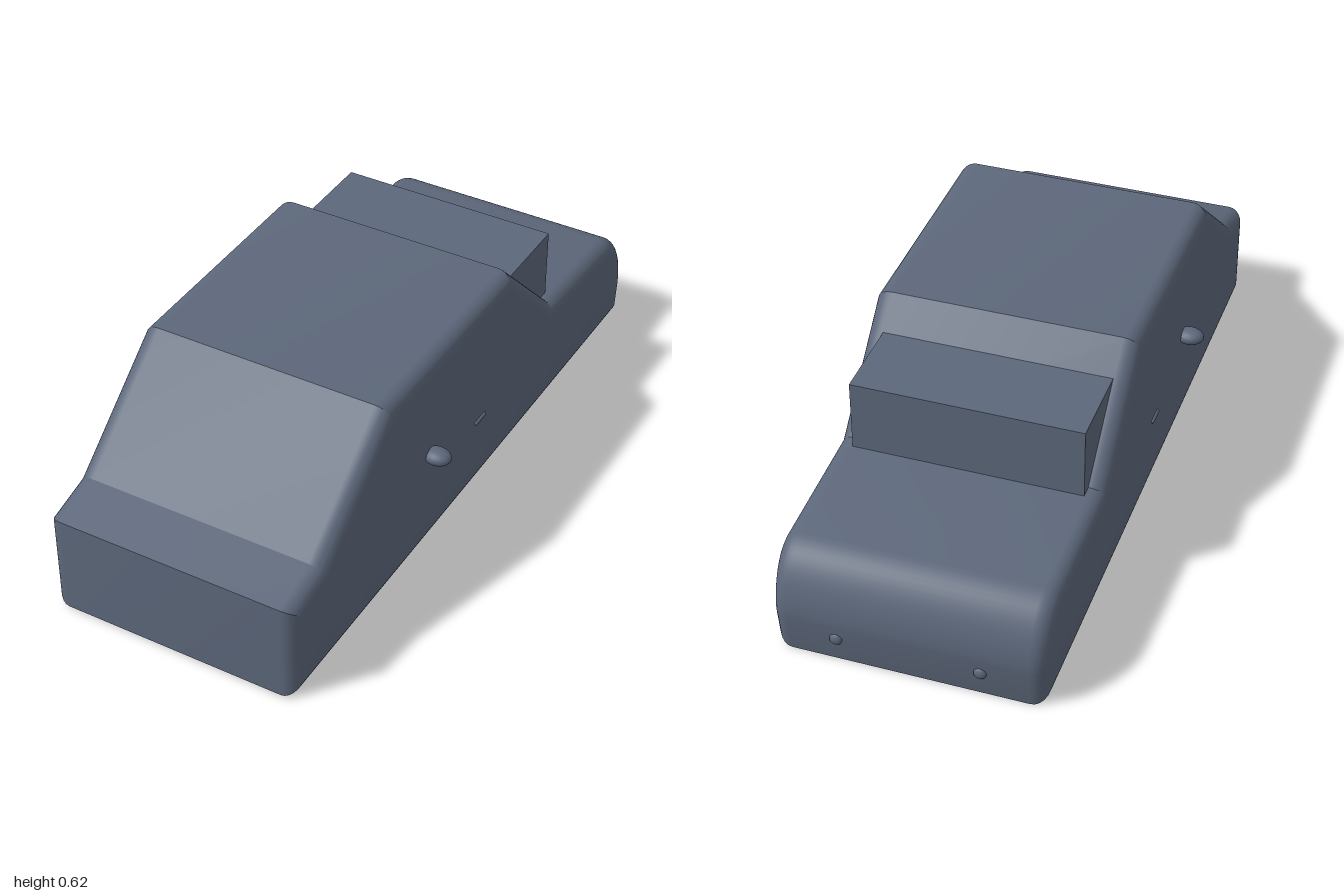
import * as THREE from 'three';
import { toCreasedNormals } from 'three/addons/utils/BufferGeometryUtils.js';

export function createModel() {
  const group = new THREE.Group();
  const paint = new THREE.MeshStandardMaterial({ color: 0x5c677a });
  paint.name = 'slateBlue';

  const add = (name, geometry, x = 0, y = 0, z = 0) => {
    const mesh = new THREE.Mesh(geometry, paint);
    mesh.name = name;
    mesh.position.set(x, y, z);
    group.add(mesh);
    return mesh;
  };

  // Body: side profile (z, y) extruded across the width with rounded edges
  const bevel = 0.047;
  const halfWidth = 0.38;
  const profile = new THREE.Shape();
  profile.moveTo(1, 0.007);
  profile.lineTo(1, 0.307);
  profile.lineTo(0.85, 0.345);
  profile.lineTo(0.51, 0.625);
  profile.lineTo(-0.19, 0.625);
  profile.lineTo(-0.485, 0.336);
  profile.lineTo(-0.87, 0.315);
  profile.bezierCurveTo(-0.945, 0.306, -0.995, 0.22, -0.995, 0.12);
  profile.lineTo(-0.978, 0);
  profile.closePath();
  const body = new THREE.ExtrudeGeometry(profile, {
    depth: 2 * (halfWidth - bevel),
    bevelEnabled: true,
    bevelSize: bevel,
    bevelThickness: bevel,
    bevelOffset: -bevel,
    bevelSegments: 6,
    curveSegments: 14,
  });
  body.translate(0, 0, bevel - halfWidth);
  body.rotateY(-Math.PI / 2);
  add('body', toCreasedNormals(body, 0.4));

  // Box behind the cabin, sunk into the rear slope
  add('rearBox', new THREE.BoxGeometry(0.66, 0.245, 0.25), 0, 0.4225, -0.395);

  for (const [side, s] of [['left', 1], ['right', -1]]) {
    // Side mirror
    const mirror = new THREE.SphereGeometry(1, 16, 12);
    mirror.scale(0.042, 0.023, 0.033);
    add(side + 'Mirror', mirror, s * 0.4, 0.318, 0.283);

    // Door handle
    const handle = new THREE.CapsuleGeometry(0.006, 0.05, 4, 10);
    handle.rotateX(Math.PI / 2);
    add(side + 'DoorHandle', handle, s * 0.381, 0.235, -0.01);

    // Rear lamp
    const lamp = new THREE.SphereGeometry(1, 14, 10);
    lamp.scale(0.018, 0.018, 0.01);
    add(side + 'RearLamp', lamp, s * 0.2, 0.08, -0.99);
  }

  return group;
}
